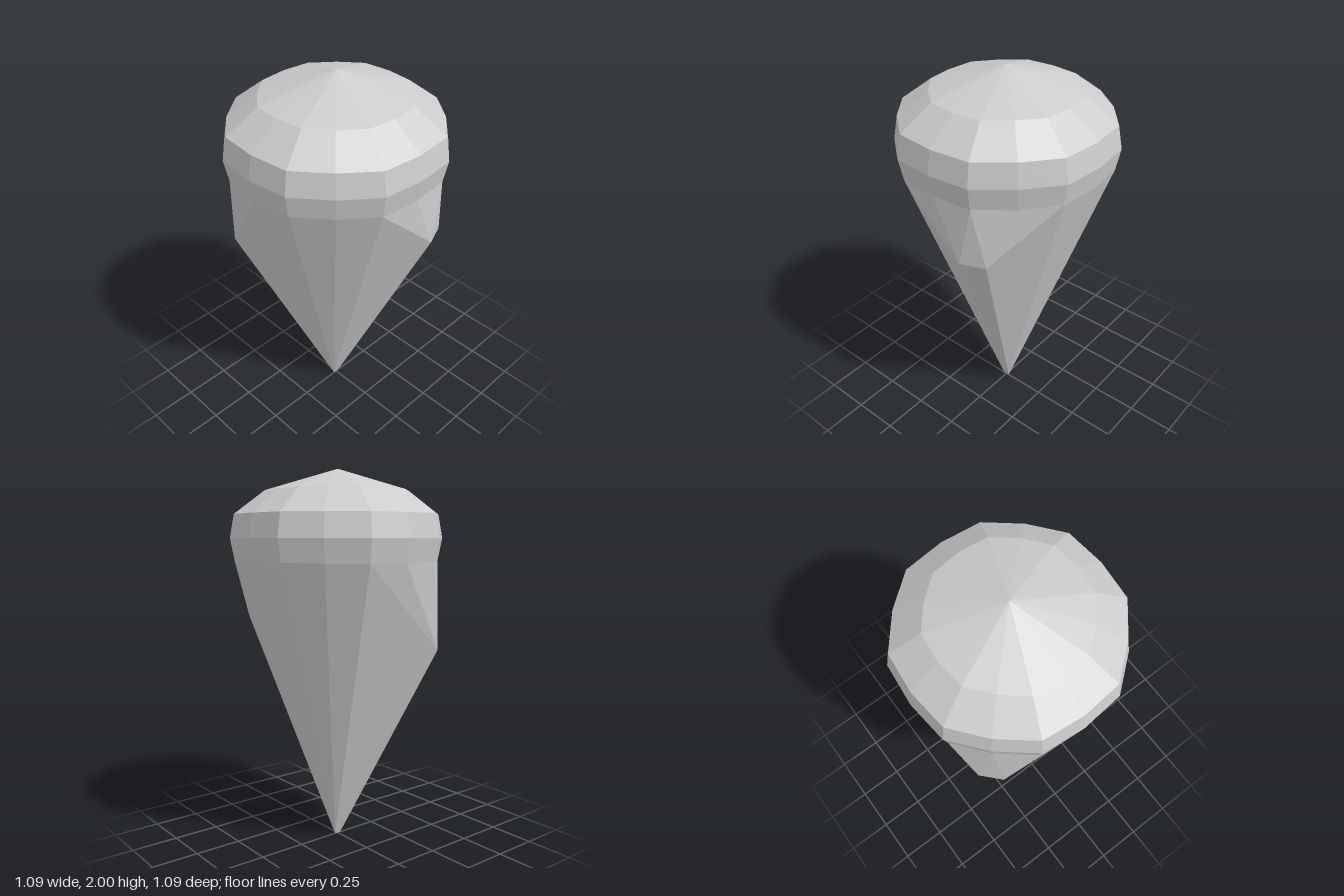
import * as THREE from 'three';
import { ConvexGeometry } from 'three/addons/geometries/ConvexGeometry.js';

const GIRDLE_Y = 1.53;
const V = (x, y, z) => new THREE.Vector3(x, y, z);

// Sixteen-sided ring: octagon corners with slightly shallower points between them
function ring(y, r) {
  return Array.from({ length: 16 }, (_, i) => {
    const a = (i * Math.PI) / 8;
    const k = i % 2 ? r : r * 0.963;
    return V(Math.cos(a) * k, y, Math.sin(a) * k);
  });
}

// Pair of points forming a narrow ridge on the flank
function ridge(y, r, degrees) {
  return [-7, 7].map((d) => {
    const a = THREE.MathUtils.degToRad(degrees + d);
    return V(Math.cos(a) * r, y, Math.sin(a) * r);
  });
}

// Faceted shell around the points, left open where the two halves meet
function openShell(points) {
  const src = new ConvexGeometry(points).getAttribute('position');
  const out = [];
  for (let i = 0; i < src.count; i += 3) {
    const corners = [0, 1, 2].map((k) => V().fromBufferAttribute(src, i + k));
    if (corners.every((p) => Math.abs(p.y - GIRDLE_Y) < 1e-4)) continue;
    corners.forEach((p) => out.push(p.x, p.y, p.z));
  }
  const geo = new THREE.BufferGeometry();
  geo.setAttribute('position', new THREE.Float32BufferAttribute(out, 3));
  geo.computeVertexNormals();
  return geo;
}

export function createModel() {
  const group = new THREE.Group();
  group.name = 'facetedSpike';
  const grey = new THREE.MeshStandardMaterial({ color: 0xcccccc, flatShading: true });
  grey.name = 'grey';

  const girdle = ring(GIRDLE_Y, 0.545);

  // Domed cap
  const cap = new THREE.Mesh(openShell([
    V(0, 2, 0), ...ring(1.885, 0.384), ...ring(1.765, 0.544), ...ring(1.645, 0.567), ...girdle,
  ]), grey);
  cap.name = 'cap';

  // Tapering point with two uneven ridges and a tiny chisel tip
  const spike = new THREE.Mesh(openShell([
    ...girdle, ...ridge(1.215, 0.54, 67.5), ...ridge(1.07, 0.54, 227),
    V(-0.018, 0, 0), V(0.018, 0, 0),
  ]), grey);
  spike.name = 'spike';

  group.add(cap, spike);
  return group;
}
